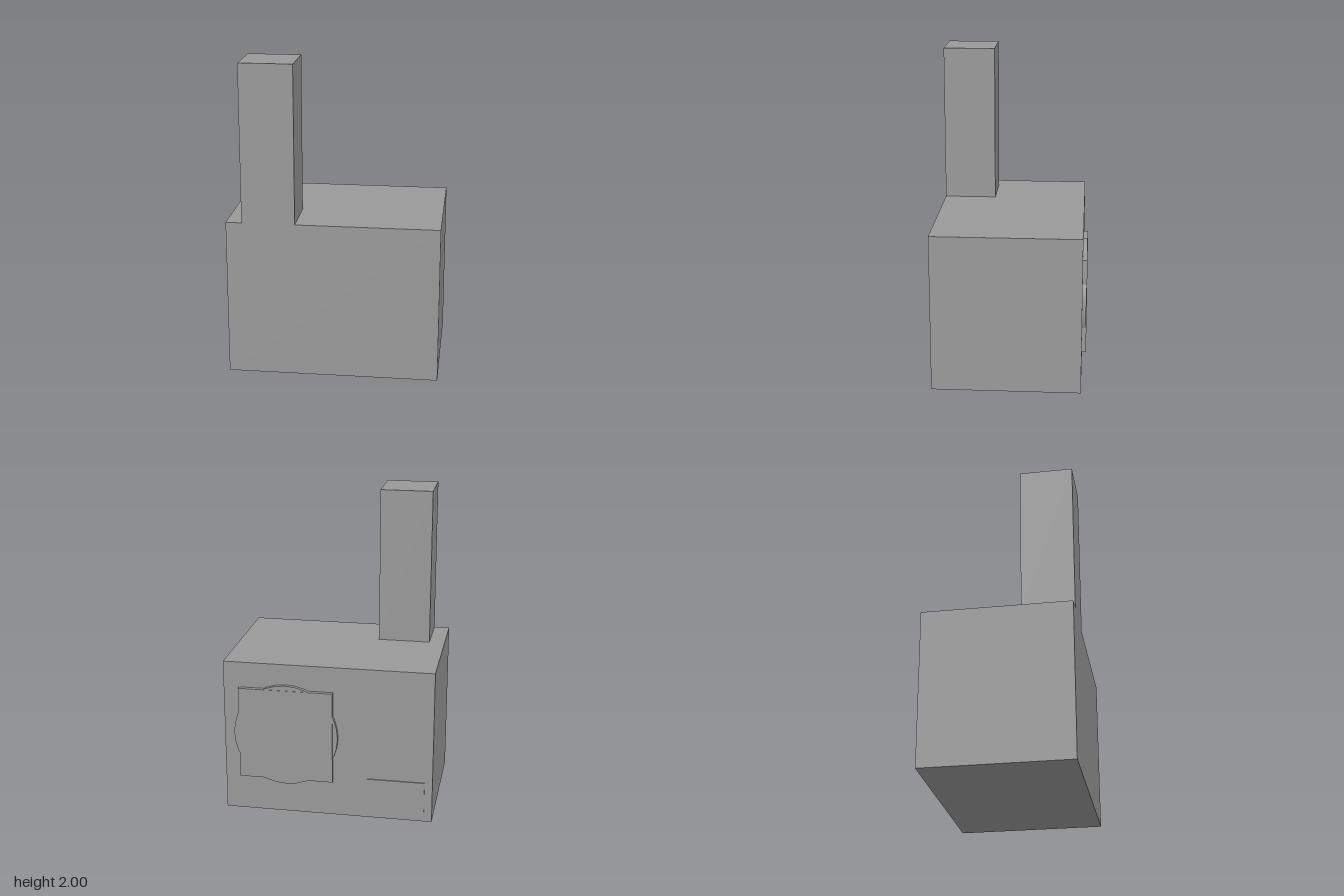
import * as THREE from 'three';

export function createModel() {
  const model = new THREE.Group();
  const grey = new THREE.MeshStandardMaterial({ color: 0x999999 });
  grey.name = 'grey';

  const add = (name, geometry, x, y, z) => {
    const mesh = new THREE.Mesh(geometry, grey);
    mesh.name = name;
    mesh.position.set(x, y, z);
    model.add(mesh);
    return mesh;
  };

  // Box given by its minimum and maximum corners
  const box = (name, [x0, y0, z0], [x1, y1, z1]) =>
    add(name, new THREE.BoxGeometry(x1 - x0, y1 - y0, z1 - z0),
      (x0 + x1) / 2, (y0 + y1) / 2, (z0 + z1) / 2);

  const back = -0.453;

  // Main block with a square tower flush with its front
  box('body', [-0.667, 0, back], [0.667, 1, 0.48]);
  box('tower', [-0.567, 1, 0.147], [-0.233, 2, 0.48]);

  // Round disc on the back, with a thin square panel over it
  const disc = add('backDisc', new THREE.CylinderGeometry(0.333, 0.333, 0.024, 32),
    0.267, 0.535, back - 0.012);
  disc.rotation.x = -Math.PI / 2;
  box('backPanel', [-0.033, 0.235, -0.48], [0.567, 0.835, back]);

  // Small low plate on the back
  box('backPlate', [-0.617, 0.067, -0.46], [-0.25, 0.267, back]);

  return model;
}
